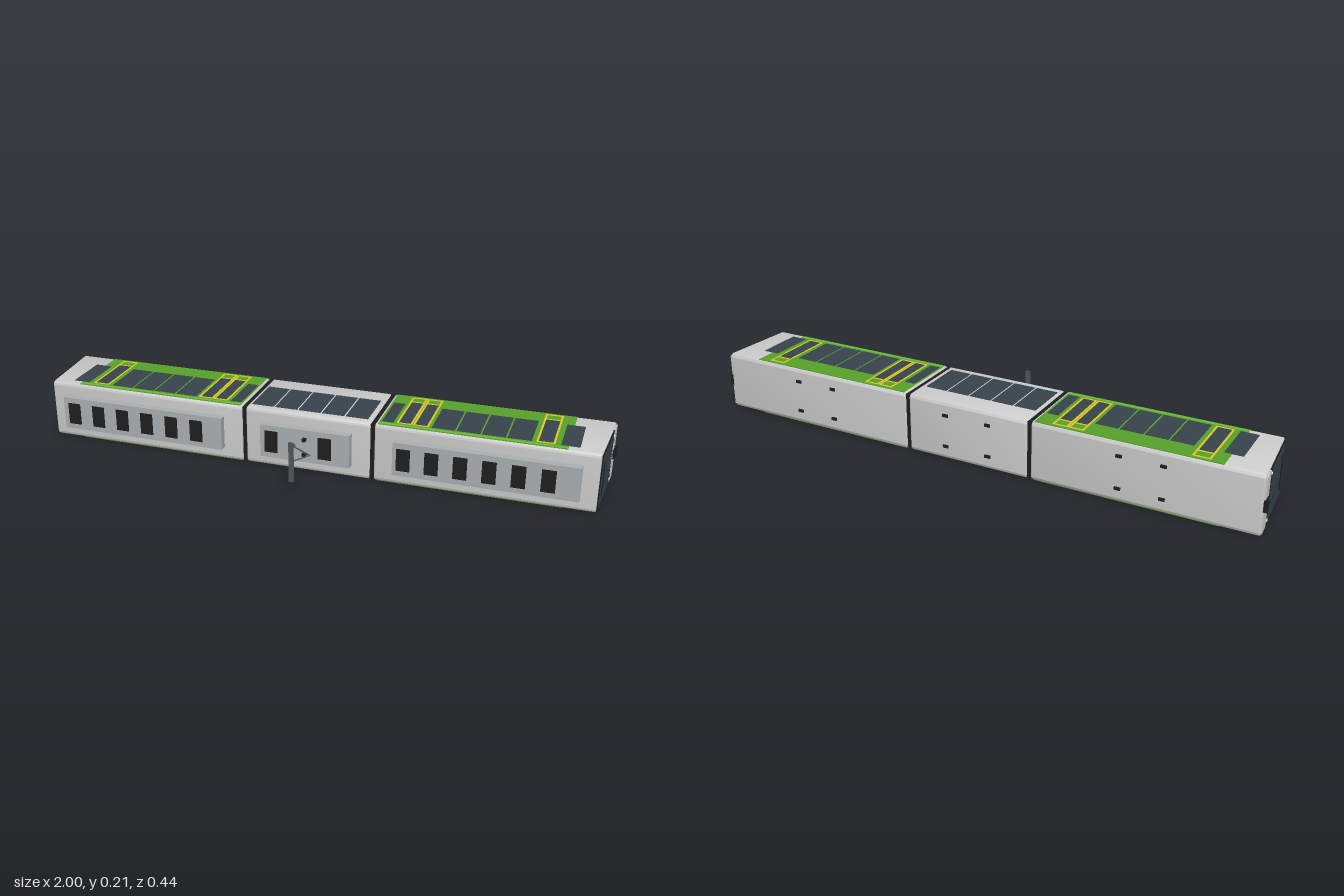
import * as THREE from 'three';
import { toCreasedNormals } from 'three/addons/utils/BufferGeometryUtils.js';

const mat = (color) => new THREE.MeshStandardMaterial({ color, side: THREE.DoubleSide });
const M = {
  grey: mat(0xcccccc), roof: mat(0xa9aeb2), green: mat(0x58a02a), trim: mat(0x6cb83c), glass: mat(0x36424c),
  black: mat(0x1e1e1e), yellow: mat(0xd8c828), white: mat(0xf4f4f0), red: mat(0x7a1010), steel: mat(0x50565a),
};
const SIDE = 0.1035;   // half width of the body
const SLOPE = -0.08;   // rake of the cab end, x per z

function add(parent, name, geo, material) {
  const mesh = new THREE.Mesh(geo, material);
  mesh.name = name;
  parent.add(mesh);
  return mesh;
}

// Box given by its limits on x, y and z
function box(parent, name, material, [x0, x1], [y0, y1], [z0, z1]) {
  const geo = new THREE.BoxGeometry(x1 - x0, y1 - y0, z1 - z0);
  geo.translate((x0 + x1) / 2, (y0 + y1) / 2, (z0 + z1) / 2);
  return add(parent, name, geo, material);
}

// Lean a geometry along the raked cab end
function rake(geo, from = -Infinity) {
  const p = geo.attributes.position;
  for (let i = 0; i < p.count; i++) {
    if (p.getX(i) > from) p.setX(i, p.getX(i) + SLOPE * p.getZ(i));
  }
  geo.computeVertexNormals();
  return geo;
}

// Rounded tube-like car shell running along x
function shell(parent, x0, x1, raked) {
  const b = 0.005, w = 0.1395 - b, h = SIDE - b, r = 0.009;
  const s = new THREE.Shape();
  s.moveTo(-w + r, -h);
  s.lineTo(w - r, -h).absarc(w - r, -h + r, r, -Math.PI / 2, 0);
  s.lineTo(w, h - r).absarc(w - r, h - r, r, 0, Math.PI / 2);
  s.lineTo(-w + r, h).absarc(-w + r, h - r, r, Math.PI / 2, Math.PI);
  s.lineTo(-w, -h + r).absarc(-w + r, -h + r, r, Math.PI, Math.PI * 1.5);
  let geo = new THREE.ExtrudeGeometry(s, {
    depth: x1 - x0 - 2 * b, bevelSize: b, bevelThickness: b, bevelSegments: 3, curveSegments: 6,
  });
  geo.rotateY(Math.PI / 2).translate(x0 + b, 0, -0.0775);
  if (raked) rake(geo, (x0 + x1) / 2);
  add(parent, 'carBody', toCreasedNormals(geo, 0.6), M.grey);
}

// Thin panels on both flanks
function flank(parent, name, material, xs, zs, out) {
  for (const s of [-1, 1]) {
    const ys = s > 0 ? [SIDE - 0.003, SIDE + out] : [-SIDE - out, -SIDE + 0.003];
    box(parent, name, material, xs, ys, zs);
  }
}

// Door: glass pane, yellow frame and a lower kick panel
function door(parent, x0, x1) {
  const t = 0.007;
  flank(parent, 'doorGlass', M.glass, [x0 + t, x1 - t], [-0.155, 0.024], 0.0012);
  for (const xs of [[x0, x0 + t], [x1 - t, x1]]) flank(parent, 'doorFrame', M.yellow, xs, [-0.2, 0.031], 0.0015);
  for (const z of [-0.2, -0.162, 0.024]) flank(parent, 'doorFrame', M.yellow, [x0, x1], [z, z + t], 0.0015);
}

// Roof equipment case with a row of fan covers
function roofCase(parent, x0, x1, fans) {
  box(parent, 'roofCase', M.roof, [x0, x1], [-0.059, 0.059], [0.055, 0.088]);
  for (const x of fans) box(parent, 'roofFan', M.black, [x - 0.023, x + 0.023], [-0.039, 0.039], [0.08, 0.0915]);
}

// Small blocks under the floor
function floorBlocks(parent, xs) {
  for (const x of xs) for (const y of [-0.056, 0.056])
    box(parent, 'floorBlock', M.black, [x - 0.01, x + 0.01], [y - 0.005, y + 0.005], [-0.222, -0.21]);
}

function cabEnd(parent) {
  const cab = new THREE.Group();
  cab.name = 'cabEnd';
  parent.add(cab);
  const X = 0.969;
  const plate = (name, m, out, ys, zs) => rake(box(cab, name, m, [X - 0.004, X + out], ys, zs).geometry);
  plate('windscreenSurround', M.black, 0.004, [-0.096, 0.096], [-0.159, 0.053]);
  plate('windscreen', M.glass, 0.006, [-0.088, 0.088], [-0.135, 0.041]);
  plate('destinationBoard', M.black, 0.007, [-0.058, 0.058], [0.009, 0.026]);
  plate('lowerPanel', M.grey, 0.005, [-0.094, 0.094], [-0.213, -0.16]);
  plate('couplerHatch', M.black, 0.008, [-0.016, 0.016], [-0.194, -0.174]);
  plate('coupler', M.black, 0.0144, [-0.02, 0.02], [-0.214, -0.2]);

  // Wiper lying diagonally across the glass
  const wiper = new THREE.BoxGeometry(0.004, 0.007, 0.064);
  wiper.rotateX(0.67).translate(X + 0.007, 0.008, -0.103);
  add(cab, 'wiper', rake(wiper), M.black);

  for (const s of [-1, 1]) {
    for (const [name, m, y, r] of [['headlight', M.white, 0.079, 0.005], ['tailLight', M.red, 0.064, 0.004]]) {
      const lamp = new THREE.CylinderGeometry(r, r, 0.008, 20);
      lamp.rotateZ(Math.PI / 2).translate(X + 0.003, s * y, -0.149);
      add(cab, name, toCreasedNormals(rake(lamp), 0.6), m);
    }
  }
}

// End car with its cab towards +x
function endCar(name, fanStart) {
  const car = new THREE.Group();
  car.name = name;
  shell(car, 0.235, 0.97, true);
  flank(car, 'greenSide', M.green, [0.243, 0.86], [-0.21, 0.054], 0.0005);
  flank(car, 'roofLineTrim', M.trim, [0.243, 0.86], [0.038, 0.05], 0.001);
  flank(car, 'endWindow', M.glass, [0.25, 0.289], [-0.135, 0.03], 0.001);
  for (let i = 0; i < 4; i++) {
    const x = 0.418 + i * 0.0825;
    flank(car, 'sideWindow', M.glass, [x, x + 0.077], [-0.135, 0.03], 0.001);
  }
  flank(car, 'cabWindow', M.glass, [0.835, 0.895], [-0.135, 0.03], 0.001);
  door(car, 0.3, 0.353);
  door(car, 0.355, 0.408);
  door(car, 0.757, 0.817);
  roofCase(car, 0.303, 0.912, Array.from({ length: 6 }, (_, i) => fanStart + i * 0.0945));
  floorBlocks(car, [0.535, 0.68]);
  cabEnd(car);
  // Gangway bellows to the middle car
  box(car, 'gangway', M.black, [0.212, 0.243], [-0.099, 0.099], [-0.212, 0.056]);
  return car;
}

function rod(parent, name, a, b, r) {
  const p = new THREE.Vector3(...a), q = new THREE.Vector3(...b);
  const mesh = add(parent, name, new THREE.CylinderGeometry(r, r, p.distanceTo(q), 10), M.steel);
  mesh.position.copy(p).lerp(q, 0.5);
  mesh.quaternion.setFromUnitVectors(new THREE.Vector3(0, 1, 0), q.sub(p).normalize());
}

function middleCar() {
  const car = new THREE.Group();
  car.name = 'middleCar';
  shell(car, -0.22, 0.22, false);
  for (let i = 0; i < 5; i++) {
    const x = -0.209 + i * 0.0835;
    flank(car, 'sideWindow', M.glass, [x, x + 0.078], [-0.135, 0.03], 0.001);
  }
  roofCase(car, -0.16, 0.157, [-0.12, 0.07]);
  floorBlocks(car, [-0.078, 0.08]);

  // Folding current collector
  const pan = new THREE.Group();
  pan.name = 'pantograph';
  car.add(pan);
  for (const y of [-0.027, 0.027]) box(pan, 'insulator', M.black, [-0.006, 0.006], [y - 0.005, y + 0.005], [0.086, 0.104]);
  rod(pan, 'baseBar', [-0.035, 0.001, 0.088], [-0.035, 0.001, 0.102], 0.003);
  rod(pan, 'lowerArm', [-0.037, 0.001, 0.1], [0.04, 0.001, 0.152], 0.0028);
  rod(pan, 'upperArm', [0.04, 0.001, 0.15], [-0.004, 0.001, 0.218], 0.002);
  box(pan, 'contactHead', M.steel, [-0.01, 0.007], [-0.07, 0.072], [0.217, 0.222]);
  return car;
}

export function createModel() {
  const model = new THREE.Group();
  model.name = 'tram';
  const train = new THREE.Group();
  train.name = 'train';
  train.position.y = 0.105;
  const left = endCar('leftCar', 0.34);
  const right = endCar('rightCar', 0.398);
  right.rotation.z = Math.PI;
  train.add(left, middleCar(), right);
  model.add(train);
  return model;
}
